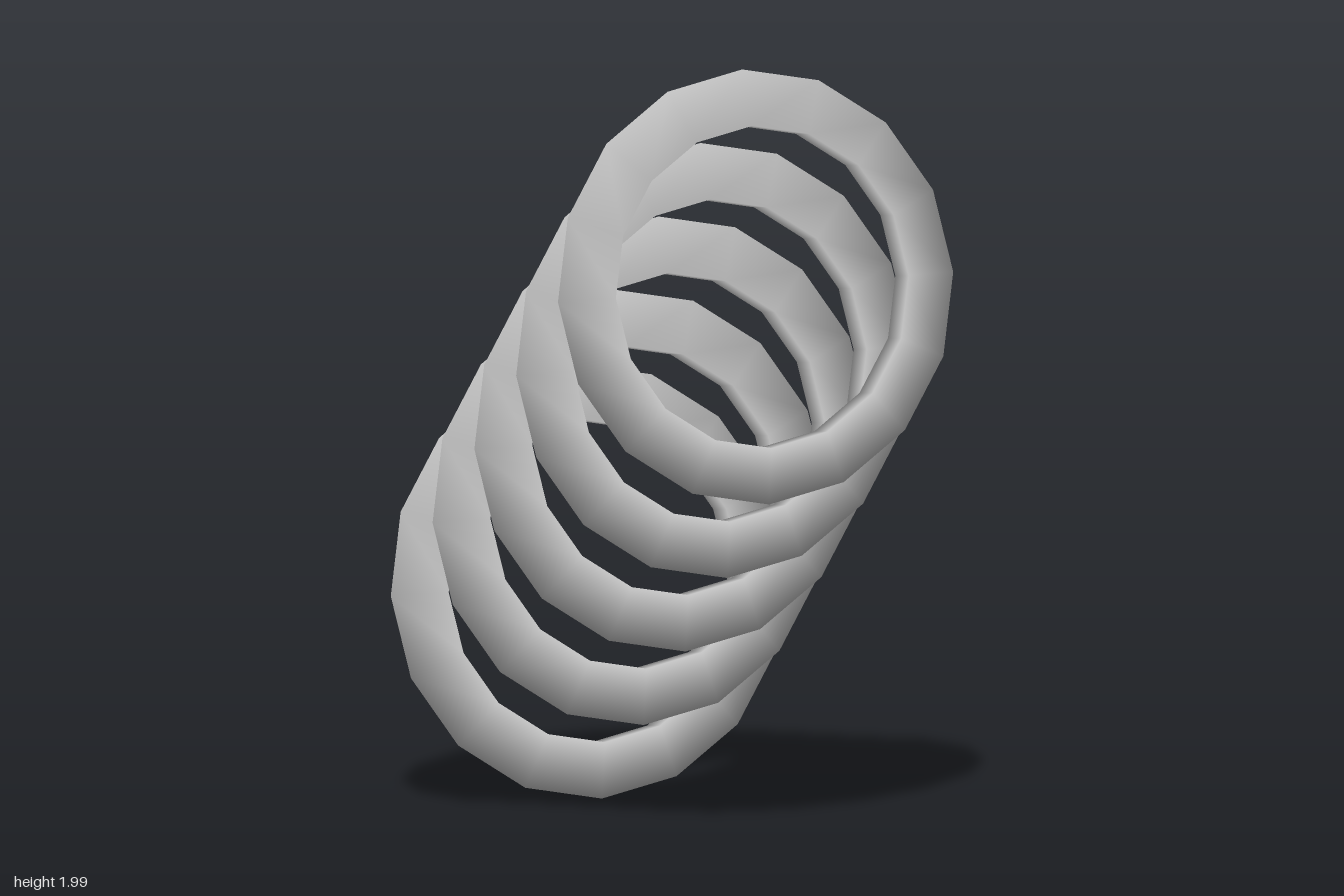
import * as THREE from 'three';
import { mergeVertices } from 'three/addons/utils/BufferGeometryUtils.js';

const RINGS = 5;
const TILT = 0.147;

// Ring with a flattened triangular section: sharp outer rim, flat inner band
function ringGeometry(outer, inner, thickness) {
  const r = (outer - inner) / 1.5;
  const torus = new THREE.TorusGeometry(outer - r, r, 3, 16);
  torus.scale(1, 1, thickness / (r * Math.sqrt(3)));
  torus.deleteAttribute('uv');
  torus.deleteAttribute('normal');
  const smooth = mergeVertices(torus, 1e-4);
  smooth.computeVertexNormals();
  return smooth;
}

export function createModel() {
  const group = new THREE.Group();
  group.name = 'ringRow';
  const material = new THREE.MeshStandardMaterial({ color: 0xcccccc });
  const geometry = ringGeometry(0.551, 0.408, 0.08);

  // Row of rings stepping down towards the back, tops leaning back
  for (let i = 0; i < RINGS; i++) {
    const ring = new THREE.Mesh(geometry, material);
    ring.name = `ring${i + 1}`;
    ring.position.set(0, 1.455 - 0.226 * i, 0.5 - 0.25 * i);
    ring.rotation.x = -TILT;
    group.add(ring);
  }
  return group;
}
